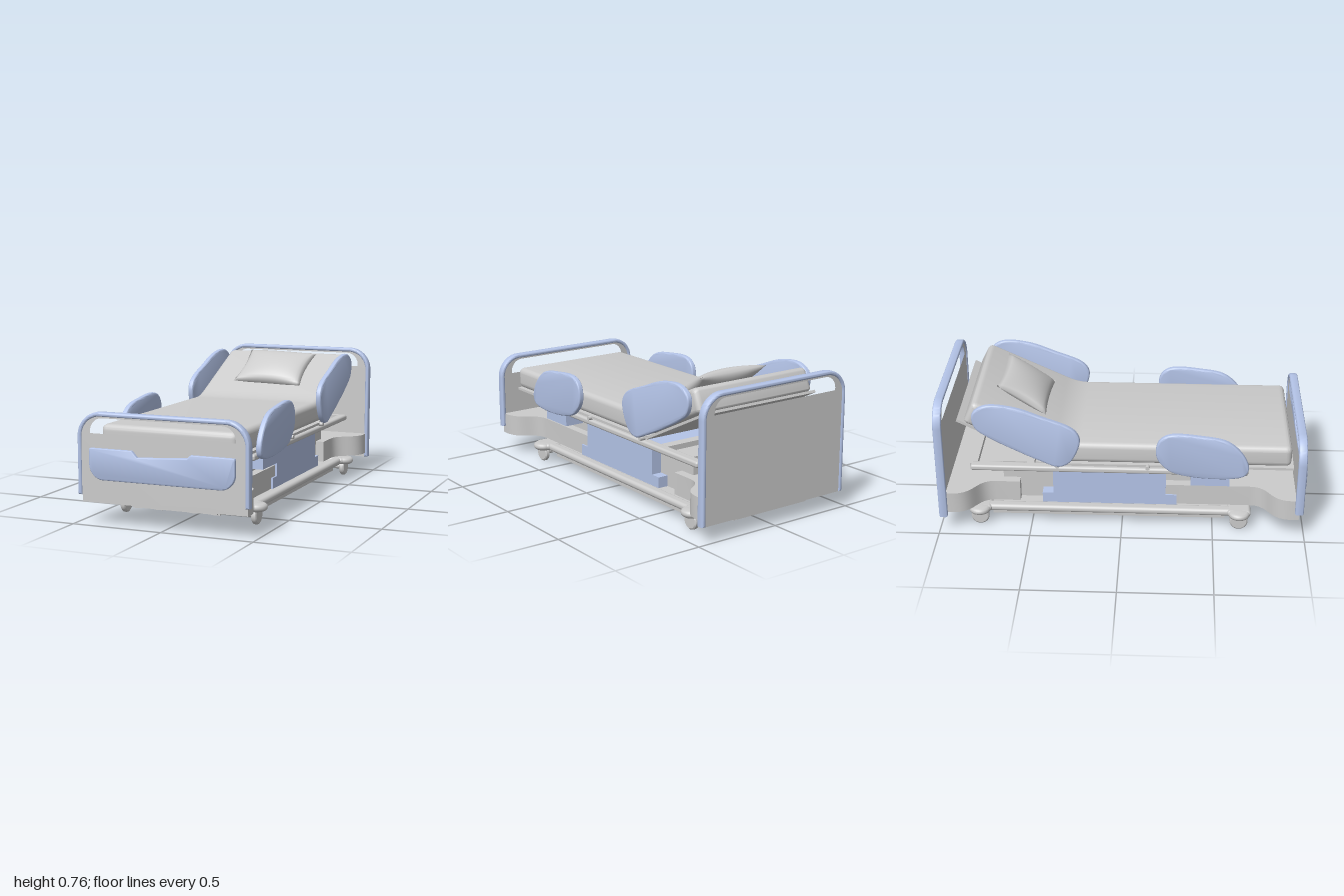
import * as THREE from 'three';
import { toCreasedNormals, mergeGeometries, mergeVertices } from 'three/addons/utils/BufferGeometryUtils.js';
import { RoundedBoxGeometry } from 'three/addons/geometries/RoundedBoxGeometry.js';

const grey = new THREE.MeshStandardMaterial({ color: 0xcccccc });
const blue = new THREE.MeshStandardMaterial({ color: 0xb4c4e8 });

export function createModel() {
  const root = new THREE.Group();

  const add = (name, geo, mat = grey) => {
    const m = new THREE.Mesh(geo, mat);
    m.name = name;
    root.add(m);
    return m;
  };
  // Box given by its limits, with optional rounded edges
  const box = (name, x0, x1, y0, y1, z0, z1, mat = grey, r = 0) => {
    const size = [Math.abs(x1 - x0), y1 - y0, z1 - z0];
    const g = r ? new RoundedBoxGeometry(...size, 3, r) : new THREE.BoxGeometry(...size);
    return add(name, g.translate((x0 + x1) / 2, (y0 + y1) / 2, (z0 + z1) / 2), mat);
  };
  // Extrusion centred on its depth, with the bevel kept inside the outline
  const extrude = (shape, depth, b = 0) => {
    const g = new THREE.ExtrudeGeometry(shape, {
      depth: depth - 2 * b, bevelEnabled: b > 0, bevelThickness: b, bevelSize: b,
      bevelOffset: -b, bevelSegments: 4, curveSegments: 10,
    });
    return toCreasedNormals(g.translate(0, 0, b - depth / 2), 0.6);
  };
  const sideExtrude = (shape, width, b) => extrude(shape, width, b).rotateY(-Math.PI / 2); // shape in (z, y)
  const planExtrude = (shape, height, b) => extrude(shape, height, b).rotateX(Math.PI / 2); // shape in (x, z)
  const smooth = (pts) => new THREE.Shape(
    new THREE.CatmullRomCurve3(pts.map(([a, b]) => new THREE.Vector3(a, b, 0)), true).getPoints(60)
      .slice(0, -1).map((p) => new THREE.Vector2(p.x, p.y)));

  // Head and foot boards: blue rim around a grey panel with a grip slot
  const arch = (p, w, bottom, top, r, reverse) => {
    if (!reverse) {
      p.lineTo(-w, top - r);
      p.absarc(-w + r, top - r, r, Math.PI, Math.PI / 2, true);
      p.lineTo(w - r, top);
      p.absarc(w - r, top - r, r, Math.PI / 2, 0, true);
      p.lineTo(w, bottom);
    } else {
      p.lineTo(w, top - r);
      p.absarc(w - r, top - r, r, 0, Math.PI / 2, false);
      p.lineTo(-w + r, top);
      p.absarc(-w + r, top - r, r, Math.PI / 2, Math.PI, false);
      p.lineTo(-w, bottom);
    }
  };
  const board = (name, bottom, middle, top, z) => {
    const rim = new THREE.Shape();
    rim.moveTo(-0.475, bottom);
    arch(rim, 0.475, bottom, top, 0.13, false);
    rim.lineTo(0.452, bottom);
    arch(rim, 0.452, bottom, top - 0.023, 0.107, true);
    add(name + 'Rim', extrude(rim, 0.048, 0.011).translate(0, 0, z), blue);

    const panel = new THREE.Shape();
    panel.moveTo(-0.46, bottom);
    arch(panel, 0.46, bottom, top - 0.015, 0.115, false);
    panel.lineTo(0, middle);
    panel.closePath();
    const slot = new THREE.Path();
    slot.moveTo(-0.402, top - 0.11);
    arch(slot, 0.402, top - 0.11, top - 0.03, 0.07, false);
    slot.closePath();
    panel.holes.push(slot);
    add(name + 'Panel', extrude(panel, 0.034).translate(0, 0, z), grey);
  };
  board('headboard', 0.09, 0.09, 0.765, -0.974);
  board('footboard', 0.155, 0.135, 0.587, 0.965);

  // Raised plate on the footboard, notched along its top
  const plate = new THREE.Shape();
  plate.moveTo(-0.395, 0.403);
  for (const [x, y] of [[-0.16, 0.403], [-0.13, 0.37], [0.145, 0.386], [0.165, 0.403], [0.395, 0.403]]) plate.lineTo(x, y);
  plate.quadraticCurveTo(0.403, 0.403, 0.403, 0.39);
  plate.lineTo(0.403, 0.32);
  plate.absarc(0.323, 0.32, 0.08, 0, -Math.PI / 2, true);
  plate.absarc(-0.323, 0.32, 0.08, -Math.PI / 2, -Math.PI, true);
  plate.lineTo(-0.403, 0.39);
  plate.quadraticCurveTo(-0.403, 0.403, -0.395, 0.403);
  add('footboardPlate', extrude(plate, 0.03, 0.008).translate(0, 0, 0.985), blue);

  // Mattress with its head part raised
  const mat = new THREE.Shape();
  mat.moveTo(0.88, 0.395);
  mat.quadraticCurveTo(0.915, 0.395, 0.915, 0.43);
  mat.lineTo(0.915, 0.48);
  mat.quadraticCurveTo(0.915, 0.515, 0.88, 0.515);
  mat.lineTo(-0.22, 0.515);
  mat.quadraticCurveTo(-0.29, 0.515, -0.36, 0.55);
  mat.lineTo(-0.765, 0.737);
  mat.quadraticCurveTo(-0.795, 0.75, -0.807, 0.722);
  mat.lineTo(-0.843, 0.65);
  mat.quadraticCurveTo(-0.853, 0.625, -0.82, 0.613);
  mat.lineTo(-0.36, 0.396);
  mat.closePath();
  add('mattress', sideExtrude(mat, 0.755, 0.03));

  // Pillow: two domed sheets with drawn-in sides
  const sheets = [1, -1].map((s) => {
    const g = new THREE.PlaneGeometry(2, 2, 24, 18).rotateX(-s * Math.PI / 2);
    const p = g.attributes.position;
    for (let i = 0; i < p.count; i++) {
      const u = p.getX(i), v = p.getZ(i), a = Math.max(0, 1 - u * u), b = Math.max(0, 1 - v * v);
      p.setXYZ(i, u * 0.215 * (1 - 0.08 * b), s * 0.055 * Math.pow(a * b, 0.5), v * 0.155 * (1 - 0.07 * a));
    }
    g.deleteAttribute('uv');
    g.deleteAttribute('normal');
    return g;
  });
  const pillowGeo = mergeVertices(mergeGeometries(sheets), 1e-4);
  pillowGeo.computeVertexNormals();
  const pillow = add('pillow', pillowGeo);
  pillow.position.set(0.013, 0.673, -0.545);
  pillow.rotation.set(0.56, -0.04, 0);

  // Sleeping deck: flat part and raised back rest
  box('flatDeck', -0.37, 0.37, 0.374, 0.388, -0.36, 0.93);
  const back = add('backRest', new THREE.BoxGeometry(0.72, 0.014, 0.59));
  back.position.set(0, 0.505, -0.622);
  back.rotation.x = 0.456;

  // Frame under the deck
  for (const z of [-0.81, -0.5, 0.3, 0.66]) box('frameCrossbar', -0.35, 0.35, 0.338, 0.366, z - 0.02, z + 0.02);

  // Lift housing
  box('liftBody', -0.27, 0.27, 0.115, 0.335, -0.66, 0.52);
  box('liftCover', -0.33, 0.33, 0.175, 0.335, -0.38, 0.24, blue);
  box('liftCoverFoot', -0.33, 0.33, 0.115, 0.175, -0.44, 0.3, blue);

  // Bumpers that flare out to meet the boards: inner end, curve start, curve end, board
  const bumper = (name, z0, z1, z2, z3) => {
    const s = new THREE.Shape(), m = (z2 - z1) * 0.55;
    s.moveTo(-0.32, z0);
    s.lineTo(-0.32, z1);
    s.bezierCurveTo(-0.32, z1 + m, -0.455, z2 - m * 1.1, -0.46, z2);
    s.lineTo(-0.46, z3);
    s.lineTo(0.46, z3);
    s.lineTo(0.46, z2);
    s.bezierCurveTo(0.455, z2 - m * 1.1, 0.32, z1 + m, 0.32, z1);
    s.lineTo(0.32, z0);
    add(name, planExtrude(s, 0.12).translate(0, 0.175, 0));
  };
  bumper('footBumper', 0.24, 0.7, 0.92, 0.965);
  bumper('headBumper', -0.565, -0.7, -0.92, -0.965);

  // Side rails' outlines in (z, y)
  const footRail = smooth([[0.685, 0.4], [0.655, 0.48], [0.57, 0.56], [0.43, 0.59], [0.25, 0.595], [0.195, 0.55],
    [0.19, 0.455], [0.26, 0.375], [0.38, 0.342], [0.59, 0.335], [0.665, 0.355]]);
  const headRail = smooth([[-0.222, 0.55], [-0.255, 0.615], [-0.42, 0.687], [-0.58, 0.743], [-0.73, 0.75],
    [-0.795, 0.7], [-0.785, 0.62], [-0.735, 0.575], [-0.42, 0.415], [-0.34, 0.388], [-0.275, 0.42]]);

  // Chassis plate, undertray and its ladder of ribs
  box('chassisPlate', -0.35, 0.35, 0.062, 0.1, -0.84, 0.7);
  box('undertray', -0.235, 0.235, 0.075, 0.085, -0.97, 0.83);
  for (const z of [-0.7, -0.24, 0.08, 0.55]) box('underRib', -0.33, 0.33, 0.035, 0.065, z - 0.018, z + 0.018);
  box('middleRib', -0.018, 0.018, 0.035, 0.065, -0.24, 0.08);
  for (const x of [-0.222, -0.1, 0.1, 0.222])
    for (const z of [-0.91, 0.77]) box('undertrayTab', x - 0.024, x + 0.024, 0.07, 0.09, z - 0.05, z + 0.05);
  for (const z of [-0.785, 0.645]) box('chassisEnd', -0.39, 0.39, 0.075, 0.113, z - 0.065, z + 0.065, grey, 0.018);

  // Parts mirrored on both sides
  for (const s of [1, -1]) {
    const side = s > 0 ? 'left' : 'right';
    add(side + 'FootRail', sideExtrude(footRail, 0.032, 0.011).translate(s * 0.4, 0, 0), blue);
    add(side + 'HeadRail', sideExtrude(headRail, 0.032, 0.011).translate(s * 0.4, 0, 0), blue);
    box(side + 'RailBracket', s * 0.25, s * 0.385, 0.275, 0.34, 0.375, 0.585, blue);
    box(side + 'FrameBeam', s * 0.325, s * 0.38, 0.335, 0.368, -0.825, 0.685, grey, 0.012);
    box(side + 'ChassisBeam', s * 0.315, s * 0.375, 0.072, 0.112, -0.85, 0.71, grey, 0.018);
    box(side + 'UnderRail', s * 0.295, s * 0.33, 0.035, 0.065, -0.72, 0.57);
    for (const z of [0.14, -0.35])
      add(side + 'Pivot', new THREE.CylinderGeometry(0.012, 0.012, 0.03, 16).rotateZ(Math.PI / 2).translate(s * 0.375, 0.378, z));

    // Castors: rounded cap, wheel and axle
    for (const z of [-0.785, 0.645]) {
      const cap = [[0, -0.02], [0.045, -0.02], [0.056, -0.012], [0.06, 0], [0.056, 0.012], [0.045, 0.019], [0, 0.02]]
        .map(([r, y]) => new THREE.Vector2(r, y));
      add(side + 'CastorCap', new THREE.LatheGeometry(cap, 28).translate(s * 0.374, 0.093, z));
      const wheel = [[0, -0.015], [0.042, -0.015], [0.049, -0.009], [0.05, 0], [0.049, 0.009], [0.042, 0.015], [0, 0.015]]
        .map(([r, y]) => new THREE.Vector2(r, y));
      add(side + 'CastorWheel', toCreasedNormals(new THREE.LatheGeometry(wheel, 28), 0.7)
        .rotateZ(Math.PI / 2).translate(s * 0.376, 0.05, z));
      add(side + 'CastorAxle', new THREE.CylinderGeometry(0.016, 0.016, 0.05, 16).rotateZ(Math.PI / 2).translate(s * 0.345, 0.052, z));
    }
  }
  return root;
}
